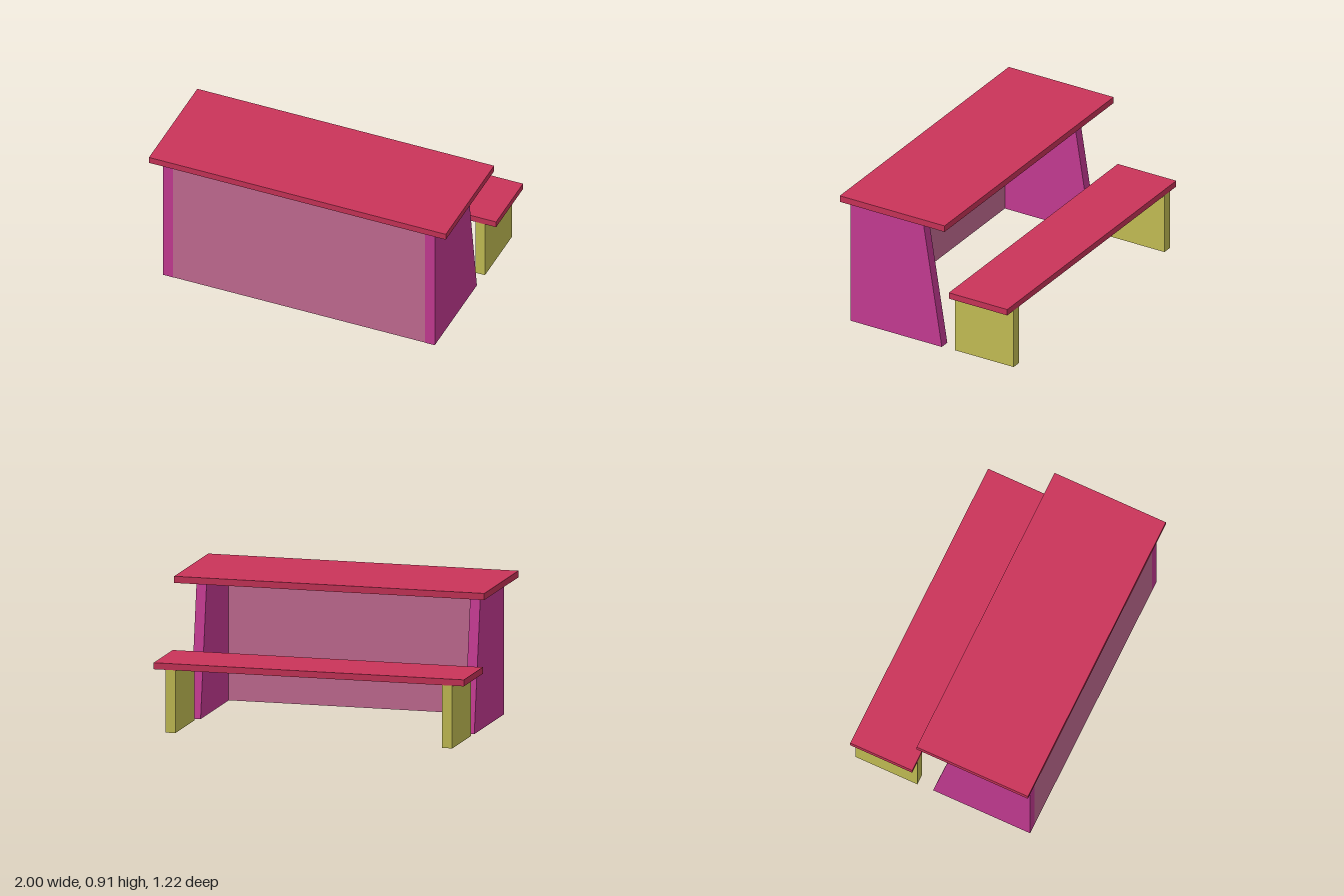
import * as THREE from 'three';

const paint = (color) => new THREE.MeshStandardMaterial({ color });
const red = paint(0xcb345a);
const magenta = paint(0xc93c96);
const pink = paint(0xc86e96);
const olive = paint(0xc8c256);

// Box given by its extents along each axis
function slab(name, material, [x0, x1], [y0, y1], [z0, z1]) {
  const mesh = new THREE.Mesh(new THREE.BoxGeometry(x1 - x0, y1 - y0, z1 - z0), material);
  mesh.position.set((x0 + x1) / 2, (y0 + y1) / 2, (z0 + z1) / 2);
  mesh.name = name;
  return mesh;
}

// Downward-facing painted surface
function underside(name, material, width, y, [z0, z1]) {
  const mesh = new THREE.Mesh(new THREE.PlaneGeometry(width, z1 - z0), material);
  mesh.rotation.x = Math.PI / 2;
  mesh.position.set(0, y, (z0 + z1) / 2);
  mesh.name = name;
  return mesh;
}

// Desk side: a board with a sloping back edge, outline drawn in (z, y)
function deskSide(x0, thickness) {
  const outline = new THREE.Shape([
    new THREE.Vector2(-0.585, 0),
    new THREE.Vector2(0.08, 0),
    new THREE.Vector2(-0.06, 0.865),
    new THREE.Vector2(-0.585, 0.865),
  ]);
  const geometry = new THREE.ExtrudeGeometry(outline, { depth: thickness, bevelEnabled: false });
  geometry.rotateY(Math.PI / 2); // shape x becomes -z, depth becomes +x
  const mesh = new THREE.Mesh(geometry, magenta);
  mesh.position.x = x0;
  return mesh;
}

export function createModel() {
  const model = new THREE.Group();
  model.name = 'deskWithBench';

  // Desk
  const desk = new THREE.Group();
  desk.name = 'desk';
  desk.add(slab('deskTop', red, [-1, 1], [0.865, 0.907], [-0.152, 0.61]));
  desk.add(slab('frontPanel', pink, [-0.85, 0.85], [0.001, 0.865], [0.545, 0.585]));
  desk.add(underside('frontPanelUnderside', olive, 1.7, 0, [0.545, 0.585]));

  // Bench
  const bench = new THREE.Group();
  bench.name = 'bench';
  bench.add(slab('benchSeat', red, [-1, 1], [0.406, 0.447], [-0.608, -0.183]));
  bench.add(underside('benchSeatUnderside', olive, 1.72, 0.405, [-0.608, -0.183]));

  // Mirrored supports
  for (const [side, s] of [['left', 1], ['right', -1]]) {
    const board = deskSide(s > 0 ? 0.85 : -0.915, 0.065);
    board.name = side + 'DeskSide';
    desk.add(board);
    const span = s > 0 ? [0.86, 0.925] : [-0.925, -0.86];
    bench.add(slab(side + 'BenchLeg', olive, span, [0.01, 0.406], [-0.608, -0.183]));
  }

  model.add(desk, bench);
  return model;
}
